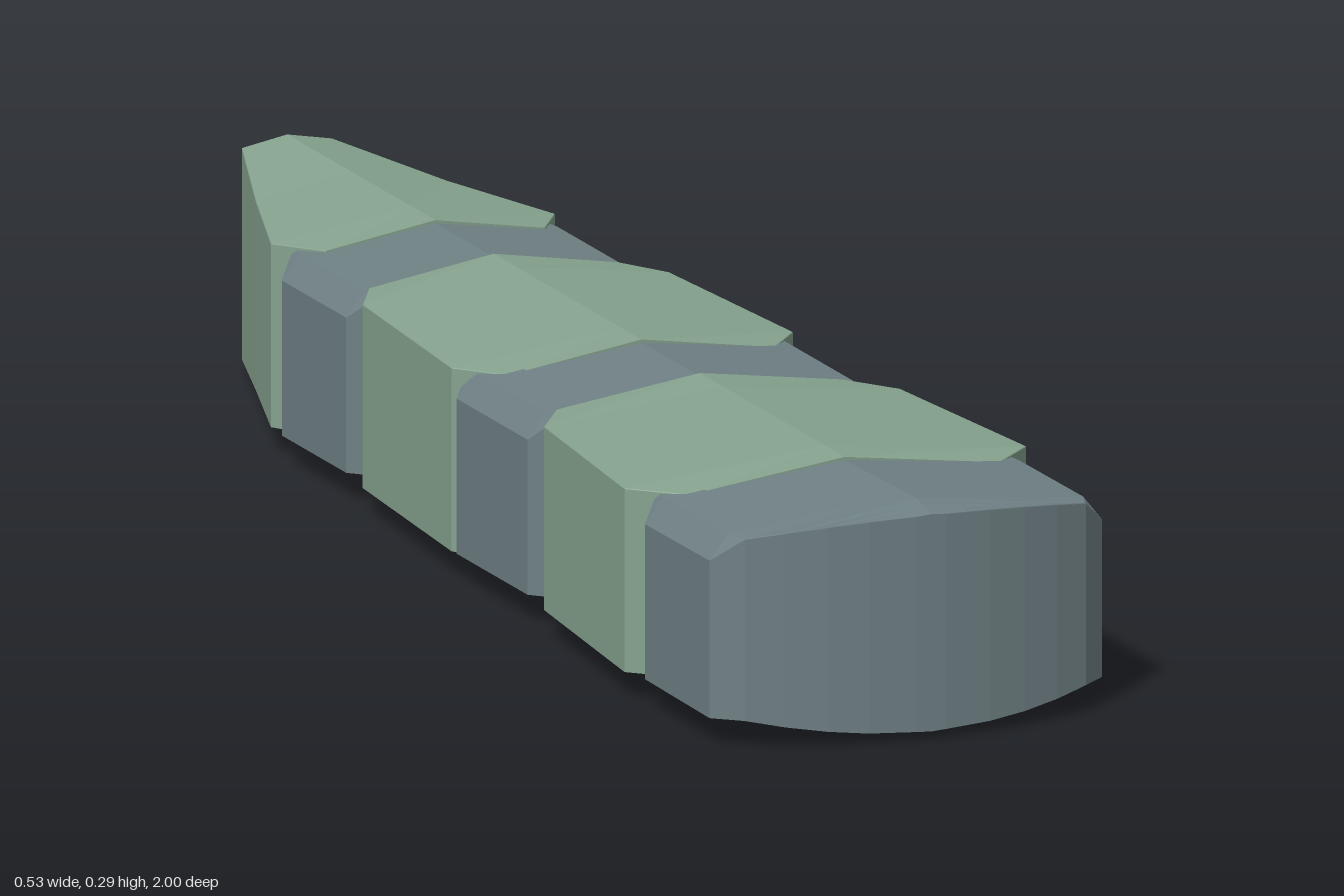
import * as THREE from 'three';

const green = new THREE.MeshStandardMaterial({ color: 0x86a38f, flatShading: true });
const slate = new THREE.MeshStandardMaterial({ color: 0x6f8084, flatShading: true });

// Cross-section: ridged top and keel, upright sides, optional bevel below the top edge
function ring({ z, w, top = 0.294, edge = 0.267, low = 0.036, keel = 0.002, bevel = 0.001 }) {
  const inner = w - bevel * 0.8;
  return [
    [0, top], [-inner, edge], [-w, edge - bevel], [-w, low],
    [0, keel], [w, low], [w, edge - bevel], [inner, edge],
  ].map(([x, y]) => new THREE.Vector3(x, y, z));
}

// Skin sections ordered from back to front and close both ends
function loft(name, material, sections) {
  const rings = sections.map(ring);
  const n = rings[0].length;
  const points = [];
  for (let i = 0; i < rings.length - 1; i++) {
    for (let j = 0; j < n; j++) {
      const k = (j + 1) % n;
      const a = rings[i][j], b = rings[i][k], c = rings[i + 1][k], d = rings[i + 1][j];
      points.push(a, b, c, a, c, d);
    }
  }
  const back = rings[0], front = rings[rings.length - 1];
  for (let j = 1; j < n - 1; j++) {
    points.push(back[0], back[j + 1], back[j], front[0], front[j], front[j + 1]);
  }
  const geometry = new THREE.BufferGeometry().setFromPoints(points);
  geometry.computeVertexNormals();
  const mesh = new THREE.Mesh(geometry, material);
  mesh.name = name;
  return mesh;
}

// Grey segments sit a touch below the green plates
const greyHeights = { top: 0.29, edge: 0.264, keel: 0.006, low: 0.038 };

function joint(name, back, front, w) {
  return loft(name, slate, [
    { z: back, w: w - 0.028, ...greyHeights },
    { z: back + 0.03, w, bevel: 0.031, ...greyHeights },
    { z: front - 0.03, w, bevel: 0.031, ...greyHeights },
    { z: front, w: w - 0.028, ...greyHeights },
  ]);
}

export function createModel() {
  const model = new THREE.Group();
  model.name = 'segmentedBody';

  // Tapering tail
  model.add(loft('tail', green, [
    { z: -1, w: 0.06, edge: 0.283, low: 0.017 },
    { z: -0.8, w: 0.127, edge: 0.27, low: 0.032 },
    { z: -0.61, w: 0.188 },
    { z: -0.54, w: 0.145, edge: 0.27 },
  ]));

  // Green plates: [name, [z, half width] from back to front]
  const plates = [
    ['rearPlate', [[-0.36, 0.165], [-0.29, 0.203], [-0.03, 0.226], [0.04, 0.176]]],
    ['frontPlate', [[0.28, 0.19], [0.35, 0.236], [0.67, 0.266], [0.73, 0.205]]],
  ];
  plates[0][1][2] = [-0.03, 0.226];
  plates[0][1] = [[-0.36, 0.165], [-0.29, 0.203], [0.04 - 0.07 + 0.07, 0.226], [0.1, 0.176]];
  for (const [name, outline] of plates) {
    model.add(loft(name, green, outline.map(([z, w]) => ({ z, w }))));
  }

  // Grey joints between the plates
  model.add(joint('rearJoint', -0.59, -0.33, 0.195));
  model.add(joint('middleJoint', 0.03, 0.31, 0.228));

  // Head with a curved front
  const head = [
    { z: 0.69, w: 0.232, ...greyHeights },
    { z: 0.72, w: 0.26, bevel: 0.031, ...greyHeights },
    { z: 0.92, w: 0.26, bevel: 0.031, top: 0.294, edge: 0.265 },
  ];
  for (const x of [0.226, 0.18, 0.13, 0.08, 0.02]) {
    const bow = (x / 0.226) ** 2;
    head.push({
      z: 1 - 0.05 * bow, w: x,
      top: 0.285 + 0.009 * bow, edge: 0.284 - 0.019 * bow,
      keel: 0.012 - 0.01 * bow, low: 0.013 + 0.023 * bow,
    });
  }
  model.add(loft('head', slate, head));

  return model;
}
